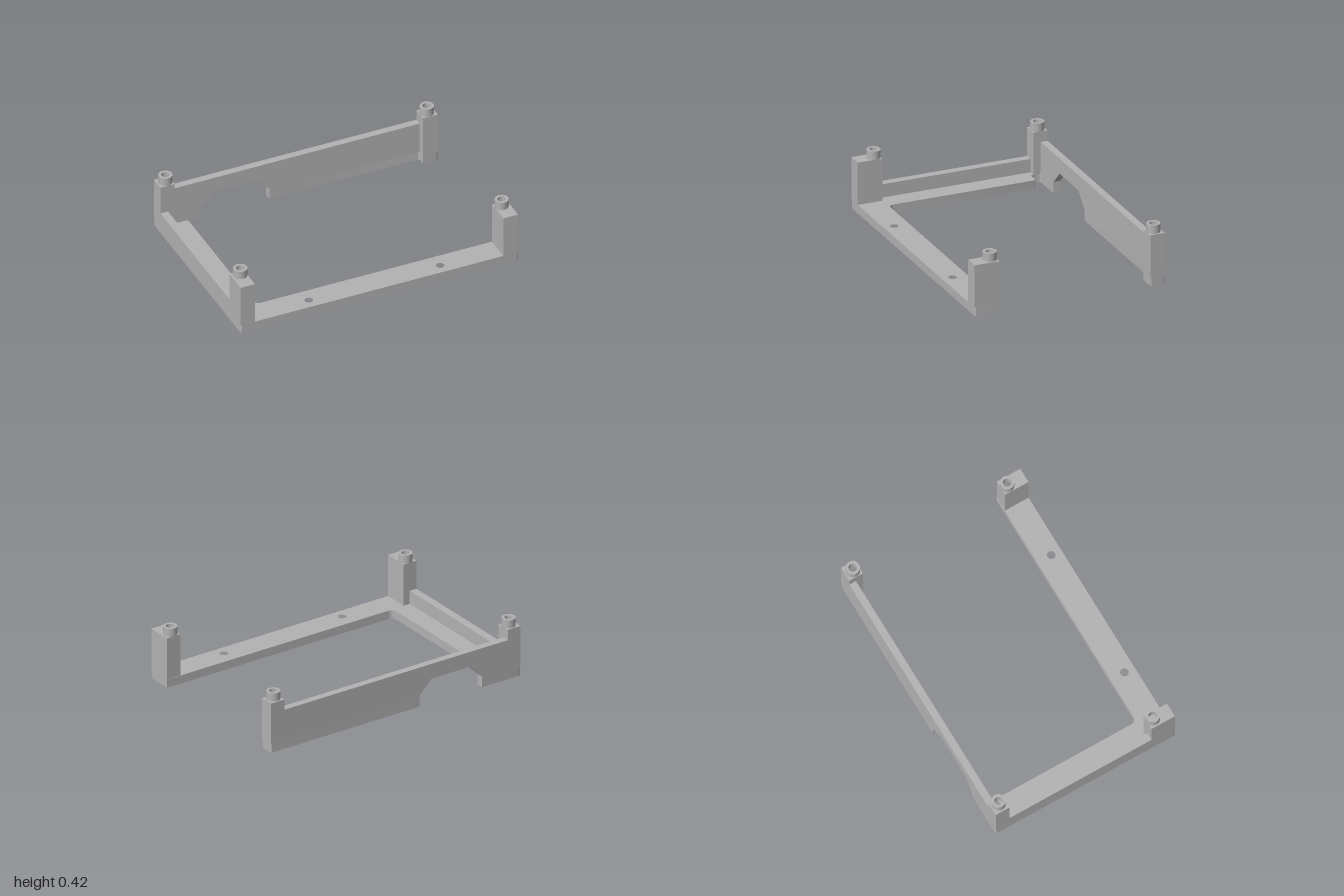
import * as THREE from 'three';
import { toCreasedNormals } from 'three/addons/utils/BufferGeometryUtils.js';

const BASE = 0.06, POST = 0.36, WALL = 0.285, HOLE = 0.028;
const BACK = -0.625, FRONT = 0.547, SIDE = 0.942;

// Closed outline from [x, y, cornerRadius] points
function outline(points) {
  const shape = new THREE.Shape();
  const n = points.length;
  points.forEach(([x, y, r = 0], i) => {
    const p = new THREE.Vector2(x, y);
    const toward = ([qx, qy]) => new THREE.Vector2(qx, qy).sub(p).setLength(r).add(p);
    const a = r ? toward(points[(i + n - 1) % n]) : p;
    if (i === 0) shape.moveTo(a.x, a.y);
    else shape.lineTo(a.x, a.y);
    if (r) {
      const b = toward(points[(i + 1) % n]);
      shape.quadraticCurveTo(x, y, b.x, b.y);
    }
  });
  shape.closePath();
  return shape;
}

// Plan-view slab from [x, z, radius] points with round [x, z] holes, between two heights
function slab(points, holes, y0, y1) {
  const shape = outline(points.map(([x, z, r]) => [x, -z, r]));
  for (const [x, z] of holes) {
    shape.holes.push(new THREE.Path().absarc(x, -z, HOLE, 0, Math.PI * 2, true));
  }
  const geo = new THREE.ExtrudeGeometry(shape, { depth: y1 - y0, bevelEnabled: false, curveSegments: 12 });
  geo.rotateX(-Math.PI / 2).translate(0, y0, 0);
  return toCreasedNormals(geo, 0.6);
}

const rect = (x0, x1, z0, z1) => [[x0, z0], [x1, z0], [x1, z1], [x0, z1]];

export function createModel() {
  const group = new THREE.Group();
  const grey = new THREE.MeshStandardMaterial({ color: 0xb2b2b2 });
  grey.name = 'grey plastic';
  const add = (name, geo) => {
    const mesh = new THREE.Mesh(geo, grey);
    mesh.name = name;
    group.add(mesh);
  };

  // Base frame: front bar, side bar and the short back strip
  add('baseFrame', slab([
    [-1, -0.68, 0.012], [-0.69, -0.68], [-0.69, -0.63], [-0.897, -0.63, 0.02],
    [-0.897, -0.558, 0.02], [-0.81, -0.558, 0.018], [-0.81, 0.5, 0.045],
    [1, 0.5], [1, 0.68, 0.012], [-1, 0.68, 0.012],
  ], [[-SIDE, BACK], [-SIDE, FRONT], [SIDE, FRONT], [-0.475, 0.605], [0.472, 0.605]], 0, BASE));

  // Separate foot under the rest of the back wall
  add('backFoot', slab([
    [-0.19, -0.68], [1, -0.68, 0.012], [1, -0.577, 0.012], [0.893, -0.577],
    [0.893, -0.63, 0.02], [-0.19, -0.63],
  ], [[SIDE, BACK]], 0, BASE));

  // Back wall with the chamfered cable opening
  const wall = new THREE.ExtrudeGeometry(outline([
    [-0.897, BASE], [-0.69, BASE], [-0.69, 0.08], [-0.592, 0.177], [-0.287, 0.177],
    [-0.19, 0.08], [-0.19, BASE], [0.893, BASE], [0.893, WALL], [-0.897, WALL],
  ]), { depth: 0.05, bevelEnabled: false });
  wall.translate(0, 0, -0.68);
  add('backWall', wall);

  // Low side wall
  add('sideWall', slab(rect(-1, -0.945, -0.577, 0.503), [], BASE, 0.155));

  // Corner posts with hollow locating collars
  for (const [sideName, s] of [['right', -1], ['left', 1]]) {
    const xs = s < 0 ? [-1, -0.897] : [0.893, 1];
    for (const [endName, z, z0, z1] of [['Back', BACK, -0.68, -0.577], ['Front', FRONT, 0.503, 0.68]]) {
      add(`${sideName}${endName}Post`, slab(rect(...xs, z0, z1), [[s * SIDE, z]], BASE, POST));
      const ring = new THREE.Shape().absarc(s * SIDE, -z, 0.047, 0, Math.PI * 2, false);
      ring.holes.push(new THREE.Path().absarc(s * SIDE, -z, HOLE, 0, Math.PI * 2, true));
      const collar = new THREE.ExtrudeGeometry(ring, { depth: 0.058, bevelEnabled: false, curveSegments: 16 });
      collar.rotateX(-Math.PI / 2).translate(0, POST, 0);
      add(`${sideName}${endName}Collar`, toCreasedNormals(collar, 0.6));
    }
  }
  return group;
}
